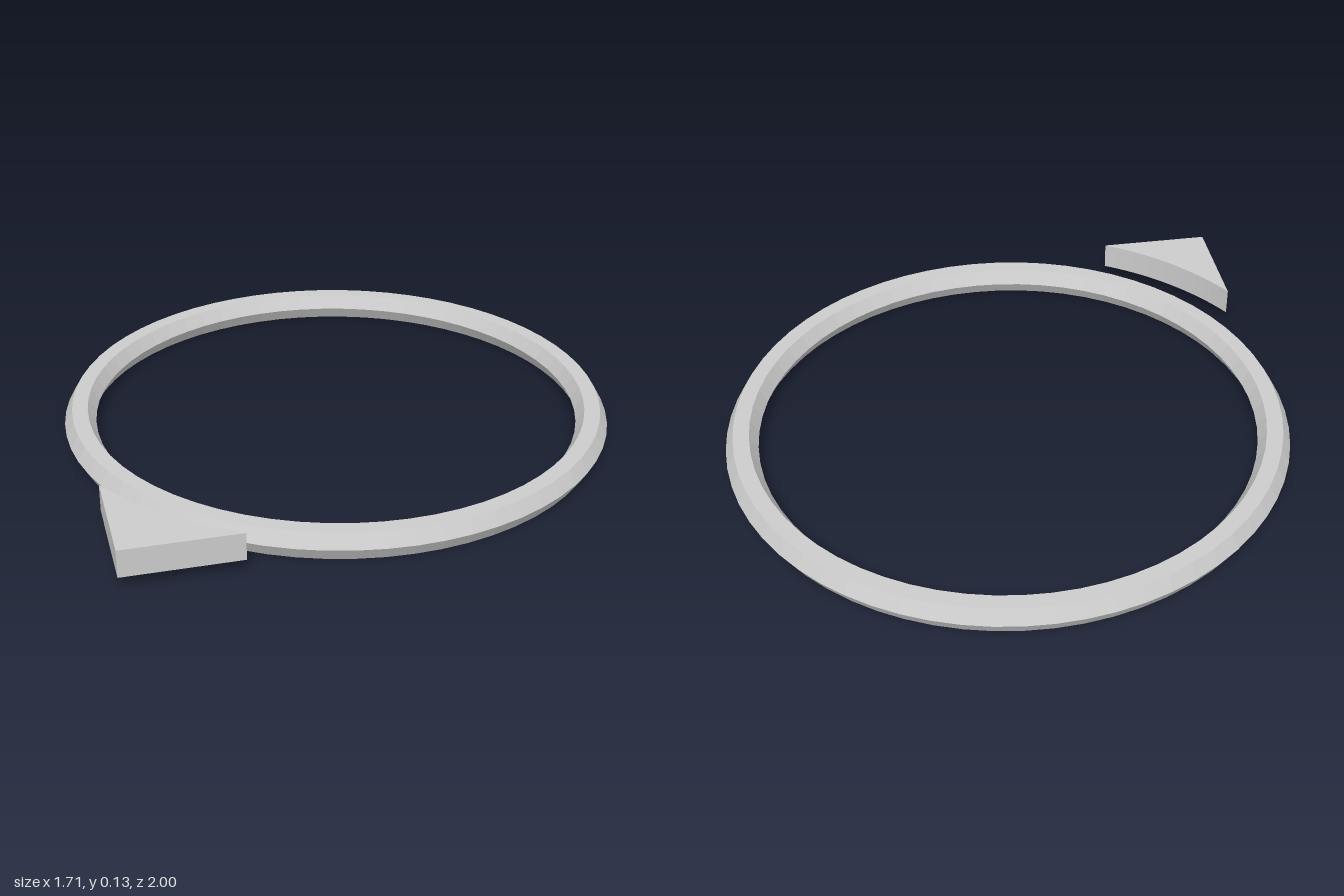
import * as THREE from 'three';

const RING_Z = -0.145; // centre shared by the ring and the pointer's curved back

export function createModel() {
  const group = new THREE.Group();
  const material = new THREE.MeshStandardMaterial({ color: 0xcccccc, flatShading: true });

  // Ring with a hexagonal section, lying flat
  const tube = 0.0487;
  const halfHeight = tube * Math.sin(Math.PI / 3);
  const ring = new THREE.Mesh(new THREE.TorusGeometry(0.8063, tube, 6, 64), material);
  ring.name = 'ring';
  ring.rotation.x = -Math.PI / 2;
  ring.position.set(0, halfHeight, RING_Z);
  group.add(ring);

  // Triangular pointer: straight sides to the tip, back concentric with the ring
  const radius = 0.932;
  const halfAngle = Math.asin(0.245 / radius);
  const shape = new THREE.Shape();
  shape.moveTo(0, 1 - RING_Z);
  shape.lineTo(-radius * Math.sin(halfAngle), radius * Math.cos(halfAngle));
  shape.absarc(0, 0, radius, Math.PI / 2 + halfAngle, Math.PI / 2 - halfAngle, true);
  shape.closePath();
  const geometry = new THREE.ExtrudeGeometry(shape, {
    depth: halfHeight * 2, bevelEnabled: false, curveSegments: 12,
  });
  geometry.rotateX(Math.PI / 2); // shape y becomes z, depth runs downwards
  const pointer = new THREE.Mesh(geometry, material);
  pointer.name = 'pointer';
  pointer.position.set(0, halfHeight * 3, RING_Z);
  group.add(pointer);

  return group;
}
